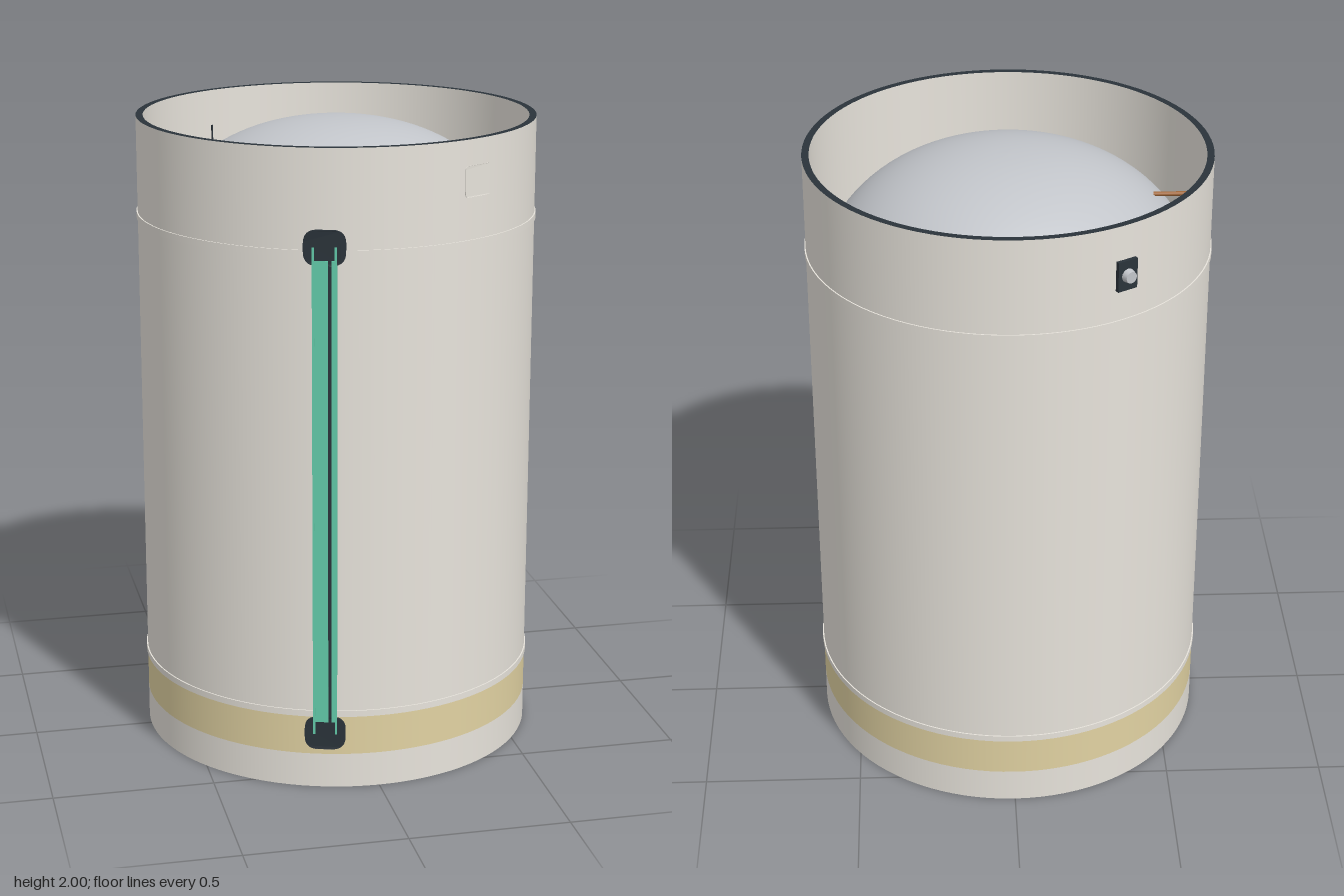
import * as THREE from 'three';

const mat = (name, color) => new THREE.MeshStandardMaterial({ name, color });

export function createModel() {
  const root = new THREE.Group();
  root.name = 'tankStage';
  const white = mat('warm white', 0xe7e3db);
  const tan = mat('tan', 0xe1d2a2);
  const dark = mat('dark slate', 0x2a333a);
  const green = mat('green', 0x62cba9);
  const grey = mat('cool grey', 0xc2c5ca);
  const copper = mat('copper', 0xa4693a);
  const pale = mat('pale grey', 0xdadde0);
  pale.side = THREE.DoubleSide;

  const R = 0.622, INNER = 0.6, SEG = 96;

  function add(name, geometry, material, parent = root, x = 0, y = 0, z = 0) {
    const m = new THREE.Mesh(geometry, material);
    m.name = name;
    m.position.set(x, y, z);
    parent.add(m);
    return m;
  }
  // Surface of revolution from [radius, y] pairs; rising profiles face outwards
  const lathe = (pts, seg = SEG) =>
    new THREE.LatheGeometry(pts.map(p => new THREE.Vector2(p[0], p[1])), seg);
  // Sharp-edged version: one surface per profile segment
  function sharpLathe(name, pts, material, seg = SEG) {
    for (let i = 1; i < pts.length; i++) add(name, lathe([pts[i - 1], pts[i]], seg), material);
  }
  // Group standing on the outer wall, local +z pointing outwards
  function mount(name, angle, y, radius = R) {
    const g = new THREE.Group();
    g.name = name;
    g.position.set(Math.sin(angle) * radius, y, Math.cos(angle) * radius);
    g.rotation.y = angle;
    root.add(g);
    return g;
  }
  // Rounded plate, bent to follow the wall
  function bentPlate(w, h, r, depth) {
    const s = new THREE.Shape(), a = w / 2, b = h / 2;
    s.moveTo(-a + r, -b);
    s.lineTo(a - r, -b);
    s.quadraticCurveTo(a, -b, a, -b + r);
    s.lineTo(a, b - r);
    s.quadraticCurveTo(a, b, a - r, b);
    s.lineTo(-a + r, b);
    s.quadraticCurveTo(-a, b, -a, b - r);
    s.lineTo(-a, -b + r);
    s.quadraticCurveTo(-a, -b, -a + r, -b);
    const geometry = new THREE.ExtrudeGeometry(s, { depth, bevelEnabled: false });
    const p = geometry.attributes.position;
    for (let i = 0; i < p.count; i++)
      p.setZ(i, p.getZ(i) - R + Math.sqrt(R * R - p.getX(i) ** 2));
    geometry.computeVertexNormals();
    return geometry;
  }

  // Outer wall with the painted band
  for (const [name, y0, y1, m] of [
    ['lowerSkirt', 0, 0.11, white], ['paintedBand', 0.11, 0.235, tan], ['outerWall', 0.235, 2, white],
  ]) add(name, lathe([[R, y0], [R, y1]]), m);

  // Inner wall above and below the domes
  for (const [name, y0, y1, m] of [
    ['innerSkirt', 0, 0.11, white], ['innerBand', 0.11, 0.235, tan],
    ['innerLowerWall', 0.235, 0.52, white], ['innerUpperWall', 1.48, 2, white],
  ]) add(name, lathe([[INNER, y1], [INNER, y0]]), m);

  // Dark end faces
  add('topRim', lathe([[R, 2], [INNER, 2]]), dark);
  add('bottomRim', lathe([[INNER, 0], [R, 0]]), dark);

  // Raised seam rings
  for (const y of [0.245, 1.69])
    sharpLathe('seamRing', [[R, y - 0.01], [R + 0.004, y - 0.01], [R + 0.004, y + 0.01], [R, y + 0.01]], white);

  // Tank domes, slightly fuller than an ellipsoid
  const DOME = 2 / 2.15;
  const arc = (yc, b, t0, t1) => Array.from({ length: 33 }, (_, i) => {
    const t = t0 + (t1 - t0) * i / 32, c = Math.abs(Math.cos(t)), s = Math.sin(t);
    return [c < 1e-6 ? 0 : INNER * c ** DOME, yc + Math.sign(s) * b * Math.abs(s) ** DOME];
  });
  add('upperDome', lathe(arc(1.5, 0.485, 0, Math.PI / 2)), grey);
  add('lowerDome', lathe(arc(0.5, 0.485, -Math.PI / 2, 0)), copper);

  // Vent pipe at the top and drain pipe at the bottom
  const pipe = (name, radius, pts) => {
    const path = new THREE.CurvePath();
    for (let i = 1; i < pts.length; i++)
      path.add(new THREE.LineCurve3(new THREE.Vector3(...pts[i - 1]), new THREE.Vector3(...pts[i])));
    add(name, new THREE.TubeGeometry(path, 48, radius, 10), copper);
  };
  pipe('ventPipe', 0.007, [[-0.592, 1.5, 0], [-0.592, 1.836, 0], [-0.586, 1.842, 0], [-0.445, 1.842, 0]]);
  pipe('drainPipe', 0.009, [[-0.585, 0.4, 0], [-0.585, 0.015, 0]]);

  // Cable duct up the front: green strips, dark groove, edge rails over rounded end covers
  const duct = mount('cableDuct', Math.atan2(-0.166, 0.597), 0.945);
  add('ductWideStrip', new THREE.BoxGeometry(0.046, 1.45, 0.018), green, duct, -0.013);
  add('ductNarrowStrip', new THREE.BoxGeometry(0.016, 1.45, 0.018), green, duct, 0.028);
  add('ductGroove', new THREE.BoxGeometry(0.01, 1.45, 0.013), dark, duct, 0.015);
  for (const s of [-1, 1]) {
    add('ductEdgeRail', new THREE.BoxGeometry(0.007, 1.53, 0.02), green, duct, s * 0.0335);
    add('ductEndCover', bentPlate(0.126, 0.106, 0.042, 0.009), dark, duct, 0, s * 0.763, -0.001);
  }

  // Flush hatch panel on the upper front
  const hatch = mount('hatch', Math.atan2(0.31, 0.54), 1.875);
  add('hatchPanel', bentPlate(0.104, 0.094, 0.012, 0.004), white, hatch, 0, 0, -0.002);

  // Vent fitting on the upper back
  const vent = mount('ventFitting', Math.atan2(-0.32, -0.54), 1.845);
  add('ventPlate', new THREE.BoxGeometry(0.066, 0.094, 0.016), dark, vent, 0, 0, 0.004);
  add('ventKnob', new THREE.CylinderGeometry(0.018, 0.022, 0.02, 16), grey, vent, 0, 0, 0.02).rotation.x = Math.PI / 2;
  add('ventSlit', new THREE.BoxGeometry(0.005, 0.08, 0.006), dark, vent, 0, 0, -0.023);

  // Latch blocks inside the bottom rim
  for (let i = 0; i < 8; i++) {
    const latch = mount('latch', Math.PI / 8 + i * Math.PI / 4, 0.028, 0.578);
    add('latchBlock', new THREE.BoxGeometry(0.05, 0.05, 0.044), dark, latch);
  }

  // Central collar under the lower dome
  sharpLathe('dockingCollar', [[0.048, 0.05], [0.048, 0.002], [0.075, 0.002], [0.075, 0.05]], white, 32);
  add('collarHub', new THREE.CylinderGeometry(0.03, 0.03, 0.03, 24), pale, root, 0, 0.018, 0);

  // Four small nozzles pointing outwards around the collar
  const bell = lathe([[0.02, 0], [0.026, 0.03], [0.038, 0.07], [0.045, 0.1]], 20);
  for (let i = 0; i < 4; i++) {
    const g = mount('nozzle', i * Math.PI / 2, 0.046, 0.14);
    add('nozzleBell', bell, pale, g).rotation.x = Math.PI / 2;
    add('nozzleCore', new THREE.CylinderGeometry(0.034, 0.026, 0.006, 20), pale, g, 0, 0, 0.06).rotation.x = Math.PI / 2;
  }
  return root;
}
